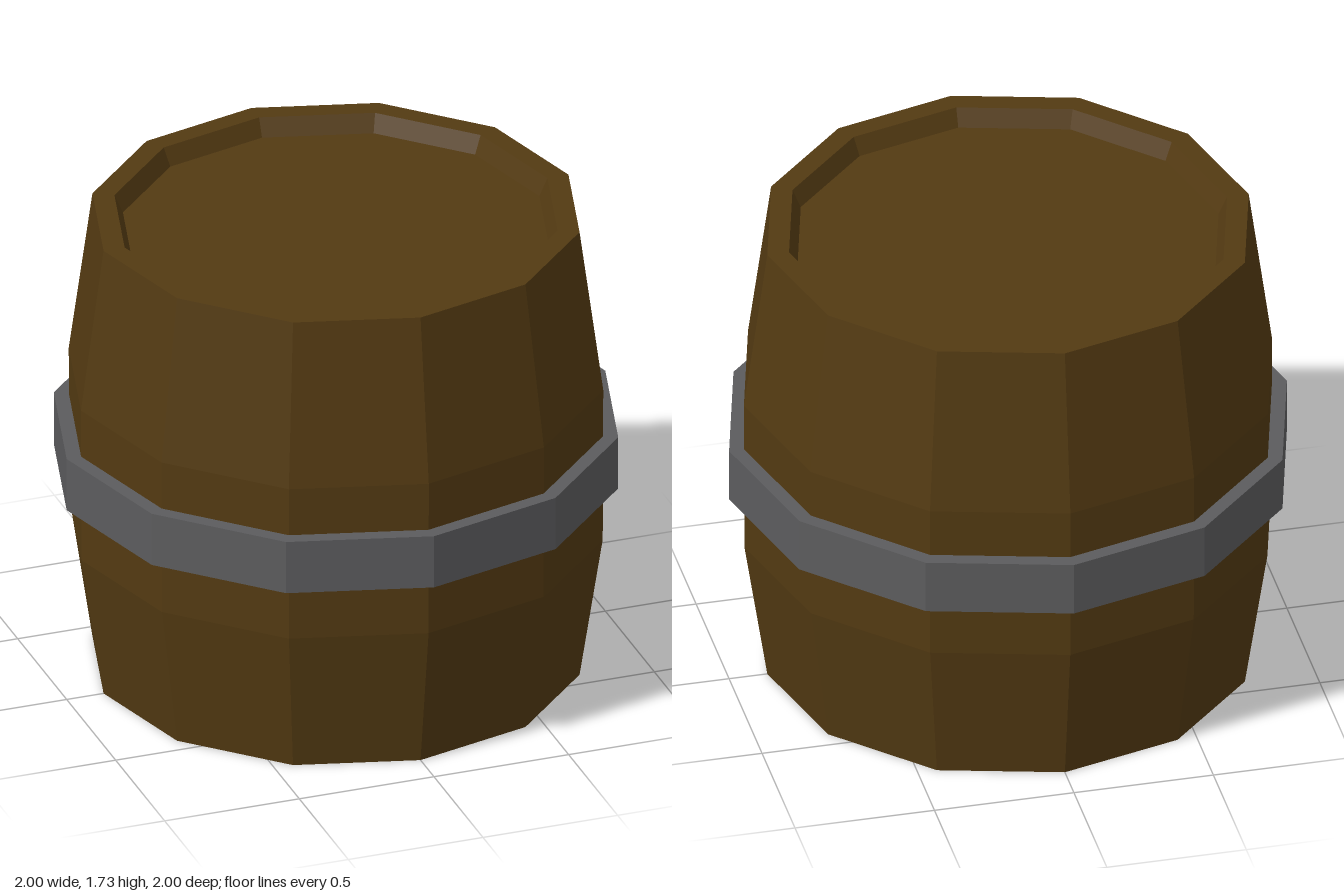
import * as THREE from 'three';

const SIDES = 12;

// Revolve an [r, y] profile (outside running upwards) into a faceted mesh
function turned(name, profile, color) {
  const points = profile.map(([r, y]) => new THREE.Vector2(r, y));
  const material = new THREE.MeshStandardMaterial({ color, flatShading: true });
  const mesh = new THREE.Mesh(new THREE.LatheGeometry(points, SIDES), material);
  mesh.name = name;
  return mesh;
}

export function createModel() {
  const group = new THREE.Group();
  group.name = 'barrel';

  const height = 1.73;
  const recess = 0.065;

  // Bulging wooden body with a recessed head at each end
  group.add(turned('woodenBody', [
    [0, recess], [0.755, recess], [0.785, 0], [0.863, 0],
    [0.945, 0.535], [0.947, 1.12],
    [0.863, height], [0.785, height], [0.755, height - recess], [0, height - recess],
  ], 0x533a12));

  // Metal hoop around the middle
  group.add(turned('metalHoop', [
    [0.93, 0.74], [1, 0.74], [1, 0.94], [0.93, 0.94], [0.93, 0.74],
  ], 0x5c5c5e));

  return group;
}
